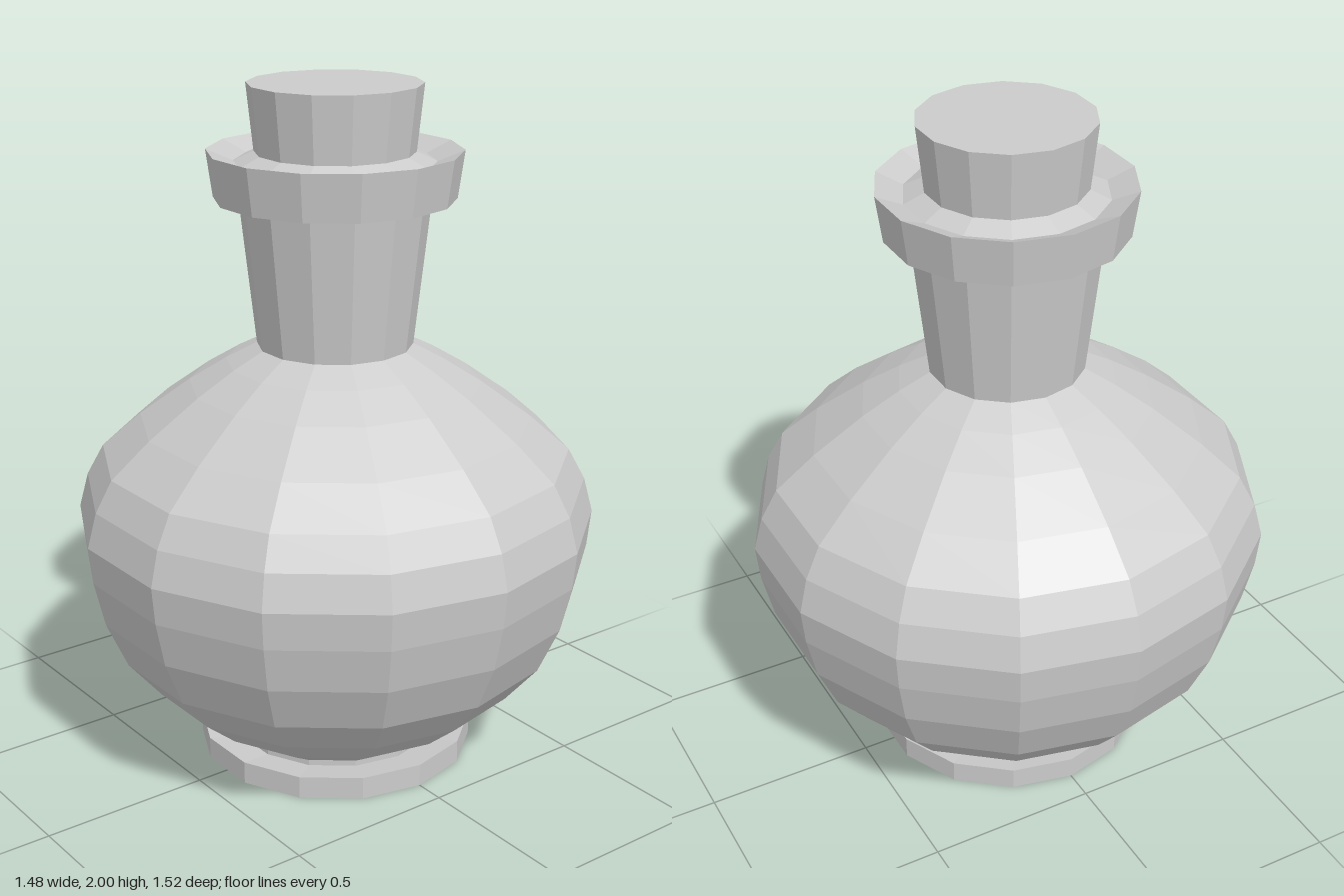
import * as THREE from 'three';

const SIDES = 14;
const material = new THREE.MeshStandardMaterial({ color: 0xcccccc, flatShading: true, side: THREE.DoubleSide });

// Faceted turned part from [radius, height] pairs, bottom to top
function turned(name, profile) {
  const points = profile.map(([r, y]) => new THREE.Vector2(r, y));
  const mesh = new THREE.Mesh(new THREE.LatheGeometry(points, SIDES), material);
  mesh.name = name;
  return mesh;
}

export function createModel() {
  const flask = new THREE.Group();
  flask.name = 'flask';

  // Foot with a shallow dish under the belly
  flask.add(turned('foot', [[0, 0], [0.412, 0], [0.412, 0.067], [0.31, 0.05], [0.31, 0.07]]));

  // Round belly
  flask.add(turned('belly', [
    [0.315, 0.07], [0.45, 0.153], [0.559, 0.245], [0.656, 0.36], [0.718, 0.5], [0.749, 0.635],
    [0.76, 0.745], [0.733, 0.847], [0.684, 0.937], [0.57, 1.037], [0.424, 1.143], [0.315, 1.21], [0.225, 1.257],
  ]));

  // Flaring neck
  flask.add(turned('neck', [[0.225, 1.257], [0.272, 1.68], [0.285, 1.78]]));

  // Collar, its top sloping inward
  flask.add(turned('collar', [[0.272, 1.68], [0.343, 1.68], [0.362, 1.815], [0.285, 1.783], [0.227, 1.81]]));

  // Stopper
  flask.add(turned('stopper', [[0.227, 1.81], [0.247, 2], [0, 2]]));

  return flask;
}
